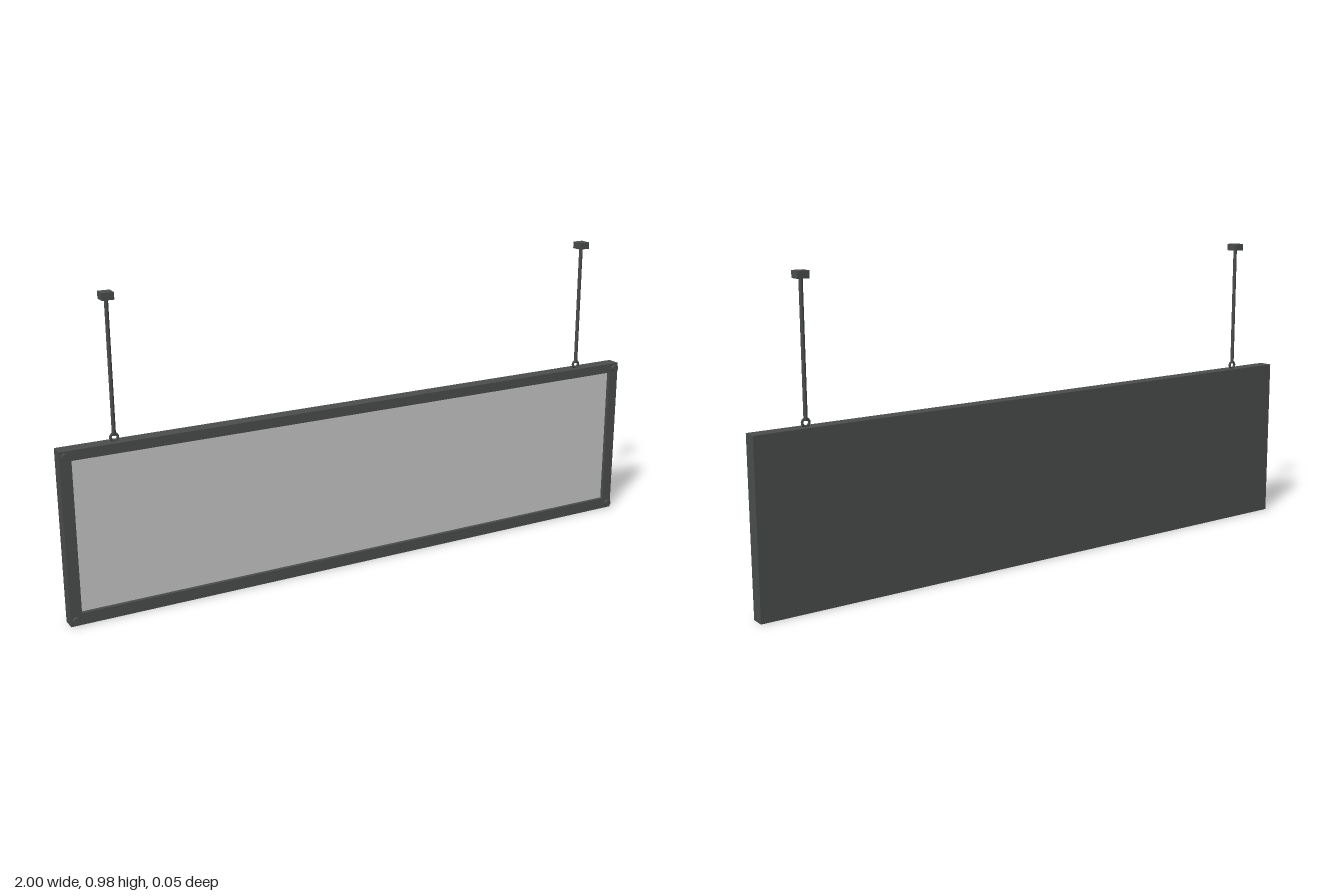
import * as THREE from 'three';

export function createModel() {
  const model = new THREE.Group();
  const metal = new THREE.MeshStandardMaterial({ color: 0x4a4e4d });
  metal.name = 'dark grey metal';
  const pane = new THREE.MeshStandardMaterial({ color: 0xc9c9c9 });
  pane.name = 'light grey panel';

  const add = (name, geometry, material, x, y, z, parent = model) => {
    const mesh = new THREE.Mesh(geometry, material);
    mesh.name = name;
    mesh.position.set(x, y, z);
    parent.add(mesh);
    return mesh;
  };

  const H = 0.538, back = -0.027, front = 0.018, paneZ = 0.006;
  const inner = { x: 0.965, y0: 0.037, y1: 0.507 };

  // Closed housing behind the display pane
  add('backHousing', new THREE.BoxGeometry(2, H, paneZ - 0.002 - back), metal, 0, H / 2, (back + paneZ - 0.002) / 2);

  // Raised border around the pane
  const border = new THREE.Shape([
    new THREE.Vector2(-1, 0), new THREE.Vector2(1, 0),
    new THREE.Vector2(1, H), new THREE.Vector2(-1, H),
  ]);
  border.holes.push(new THREE.Path([
    new THREE.Vector2(-inner.x, inner.y0), new THREE.Vector2(-inner.x, inner.y1),
    new THREE.Vector2(inner.x, inner.y1), new THREE.Vector2(inner.x, inner.y0),
  ]));
  add('frontFrame', new THREE.ExtrudeGeometry(border, { depth: front - paneZ + 0.002, bevelEnabled: false }),
    metal, 0, 0, paneZ - 0.002);

  // Recessed display pane
  add('displayPane', new THREE.BoxGeometry(inner.x * 2, inner.y1 - inner.y0, 0.004),
    pane, 0, (inner.y0 + inner.y1) / 2, paneZ - 0.002);

  // Round screw heads at the frame corners
  const screw = new THREE.CylinderGeometry(0.011, 0.011, 0.012, 16).rotateX(Math.PI / 2);
  for (const x of [-0.984, 0.984]) {
    for (const y of [0.018, 0.522]) add('cornerScrew', screw, metal, x, y, 0.022);
  }

  // Hangers: eyelet, rod and ceiling block
  for (const [side, x] of [['left', 0.83], ['right', -0.83]]) {
    const hanger = new THREE.Group();
    hanger.name = side + 'Hanger';
    hanger.position.set(x, 0, -0.004);
    model.add(hanger);
    add('eyelet', new THREE.TorusGeometry(0.011, 0.004, 8, 20), metal, 0, 0.55, 0, hanger);
    add('rod', new THREE.CylinderGeometry(0.006, 0.006, 0.405, 12), metal, 0, 0.7575, 0, hanger);
    add('ceilingBlock', new THREE.BoxGeometry(0.036, 0.022, 0.038), metal, 0, 0.964, 0, hanger);
  }

  return model;
}
